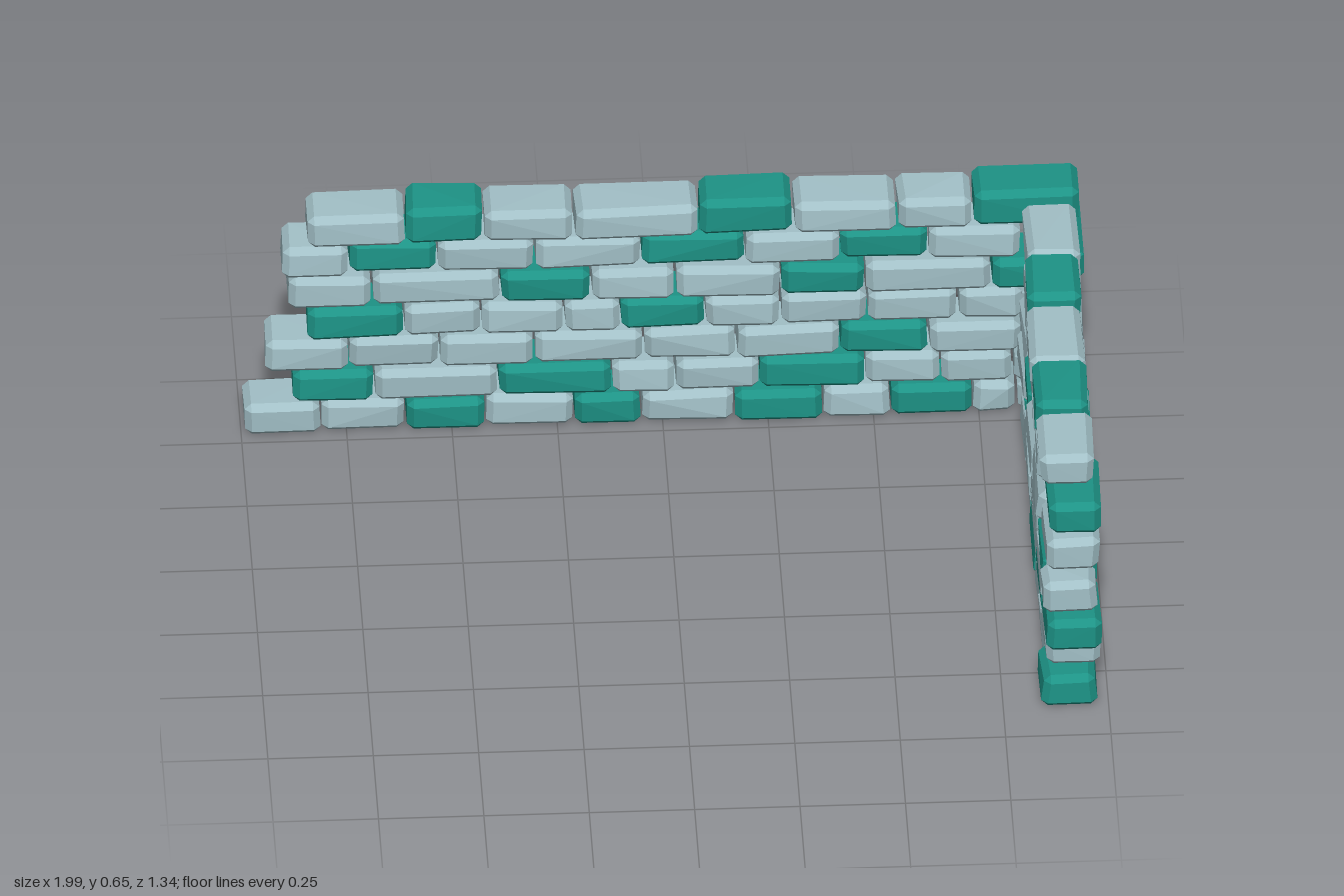
import * as THREE from 'three';
import { ConvexGeometry } from 'three/addons/geometries/ConvexGeometry.js';

const PALE = new THREE.MeshStandardMaterial({ color: 0xa2c0c7, flatShading: true });
const GREEN = new THREE.MeshStandardMaterial({ color: 0x1d9386, flatShading: true });

// Each course: [brick joints along the wall, one colour letter per brick (P pale, G green)]
const BACK = [
  [[-0.995, -0.81, -0.61, -0.42, -0.21, -0.05, 0.17, 0.38, 0.54, 0.735, 0.84, 0.975], 'PPGPGPGPGPP'],
  [[-0.88, -0.685, -0.39, -0.12, 0.03, 0.23, 0.48, 0.66, 0.83, 0.965], 'GPGPPGPPP'],
  [[-0.945, -0.745, -0.53, -0.305, -0.045, 0.175, 0.42, 0.63, 0.85, 0.972], 'PPPPPPGPG'],
  [[-0.845, -0.615, -0.43, -0.235, -0.1, 0.1, 0.28, 0.485, 0.70, 0.855], 'GPPPGPPPP'],
  [[-0.89, -0.69, -0.385, -0.17, 0.03, 0.28, 0.48, 0.78, 0.975], 'PPGPPGPG'],
  [[-0.905, -0.745, -0.535, -0.305, -0.05, 0.195, 0.42, 0.63, 0.85], 'PGPPGPGP'],
  [[-0.845, -0.61, -0.425, -0.21, 0.085, 0.31, 0.555, 0.735, 0.99], 'PGPPGPPG'],
];
const SIDE = [
  [[0.645, 0.49, 0.27, 0.13, -0.11, -0.30, -0.515], 'GPPGPP'],
  [[0.605, 0.405, 0.205, -0.04, -0.335, -0.61], 'PGPPG'],
  [[0.675, 0.475, 0.265, 0.015, -0.19, -0.305, -0.51, -0.64], 'GPPGPPP'],
  [[0.645, 0.54, 0.335, 0.125, -0.115, -0.30, -0.525, -0.66], 'PGPPGPP'],
  [[0.60, 0.405, 0.16, -0.04, -0.33, -0.51], 'PPGPP'],
  [[0.58, 0.365, 0.185, 0.085, -0.115, -0.42, -0.67], 'GPPPPG'],
  [[0.51, 0.31, 0.12, -0.115, -0.30, -0.515], 'PGPGP'],
];

const COURSE = 0.0917;
const DEPTH = 0.128;
const GAP = 0.006;

// Small seeded generator, returns -1..1
let seed = 7;
function jitter() {
  seed = (seed * 16807) % 2147483647;
  return (seed / 2147483647) * 2 - 1;
}

// Chamfered block with slightly uneven corners
function brickGeometry(w, h, d) {
  const c = 0.016;
  const points = [];
  for (const sx of [-1, 1]) for (const sy of [-1, 1]) for (const sz of [-1, 1]) {
    const x = w / 2 + jitter() * 0.002;
    const y = h / 2 + (sy > 0 ? jitter() * 0.0025 : 0);
    const z = d / 2 + jitter() * 0.004;
    points.push(
      new THREE.Vector3(sx * x, sy * (y - c), sz * (z - c)),
      new THREE.Vector3(sx * (x - c), sy * y, sz * (z - c)),
      new THREE.Vector3(sx * (x - c), sy * (y - c), sz * z),
    );
  }
  return new ConvexGeometry(points);
}

// Lay the courses of one wall along its local x axis
function buildWall(name, courses) {
  const wall = new THREE.Group();
  wall.name = name;
  courses.forEach(([joints, colours], row) => {
    const top = row === courses.length - 1;
    [...colours].forEach((colour, i) => {
      const a = joints[i], b = joints[i + 1];
      const green = colour === 'G';
      const h = top ? (green ? 0.1 : 0.088) : 0.089;
      const brick = new THREE.Mesh(
        brickGeometry(Math.abs(b - a) - GAP, h, DEPTH),
        green ? GREEN : PALE,
      );
      brick.name = green ? 'greenBrick' : 'paleBrick';
      // A few green bricks stand proud of the wall near the top
      const proud = row === 5 && green ? -0.012 : 0;
      brick.position.set((a + b) / 2, 0.005 + row * COURSE + h / 2, jitter() * 0.006 + proud);
      brick.rotation.y = jitter() * 0.02;
      wall.add(brick);
    });
  });
  return wall;
}

export function createModel() {
  seed = 7;
  const model = new THREE.Group();
  model.name = 'cornerBrickWall';

  const back = buildWall('backWall', BACK);
  back.position.z = -0.588;
  model.add(back);

  // Side wall: local x runs along world z
  const side = buildWall('sideWall', SIDE);
  side.rotation.y = -Math.PI / 2;
  side.position.x = 0.912;
  model.add(side);

  return model;
}
